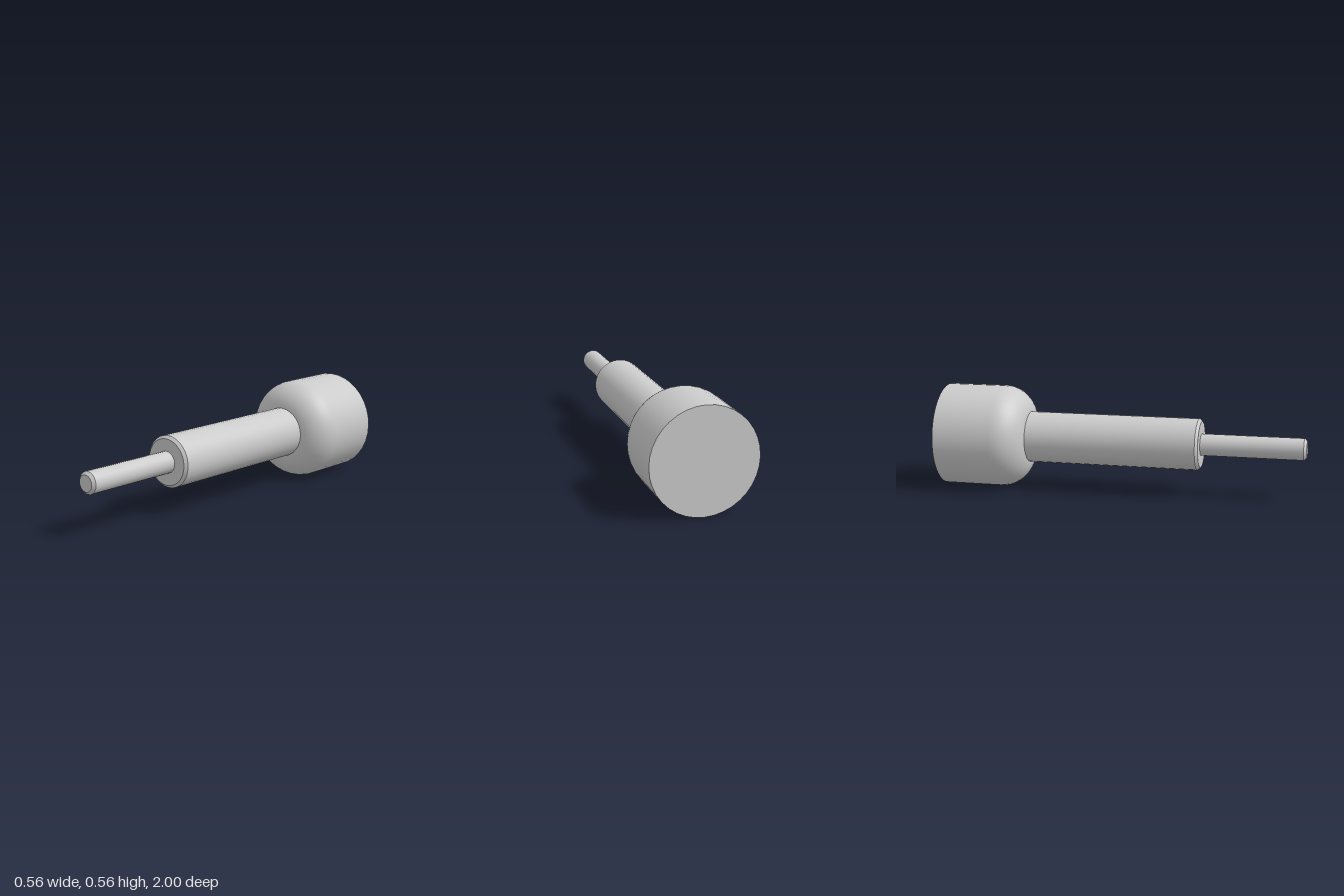
import * as THREE from 'three';
import { toCreasedNormals } from 'three/addons/utils/BufferGeometryUtils.js';

const material = new THREE.MeshStandardMaterial({ color: 0xcccccc });
const AXIS_Y = 0.28;

// Turned part: profile of [radius, z] from back to front, spun about the z axis
function turned(name, profile, sides) {
  const points = profile.map(([r, z]) => new THREE.Vector2(r, z));
  const geometry = new THREE.LatheGeometry(points, sides).rotateX(Math.PI / 2);
  const mesh = new THREE.Mesh(toCreasedNormals(geometry, 0.5), material);
  mesh.name = name;
  mesh.position.y = AXIS_Y;
  return mesh;
}

// Solid rod with a chamfered front end
function rod(name, radius, back, front, chamfer, sides) {
  return turned(name, [
    [0, back], [radius, back], [radius, front - chamfer],
    [radius - chamfer, front], [0, front],
  ], sides);
}

export function createModel() {
  const group = new THREE.Group();
  group.name = 'steppedPin';

  // Head: flat back, straight wall, rounded front shoulder
  const radius = 0.28, fillet = 0.16, front = -0.52, steps = 10;
  const head = [[0, -1], [radius, -1]];
  for (let i = 0; i <= steps; i++) {
    const a = (i / steps) * Math.PI / 2;
    head.push([
      radius - fillet + fillet * Math.cos(a),
      front - fillet + fillet * Math.sin(a),
    ]);
  }
  head.push([0, front]);
  group.add(turned('head', head, 36));

  // Shaft and thin tip
  group.add(rod('shaft', 0.14, -0.55, 0.435, 0.015, 28));
  group.add(rod('tip', 0.059, 0.42, 1, 0.015, 20));

  return group;
}
